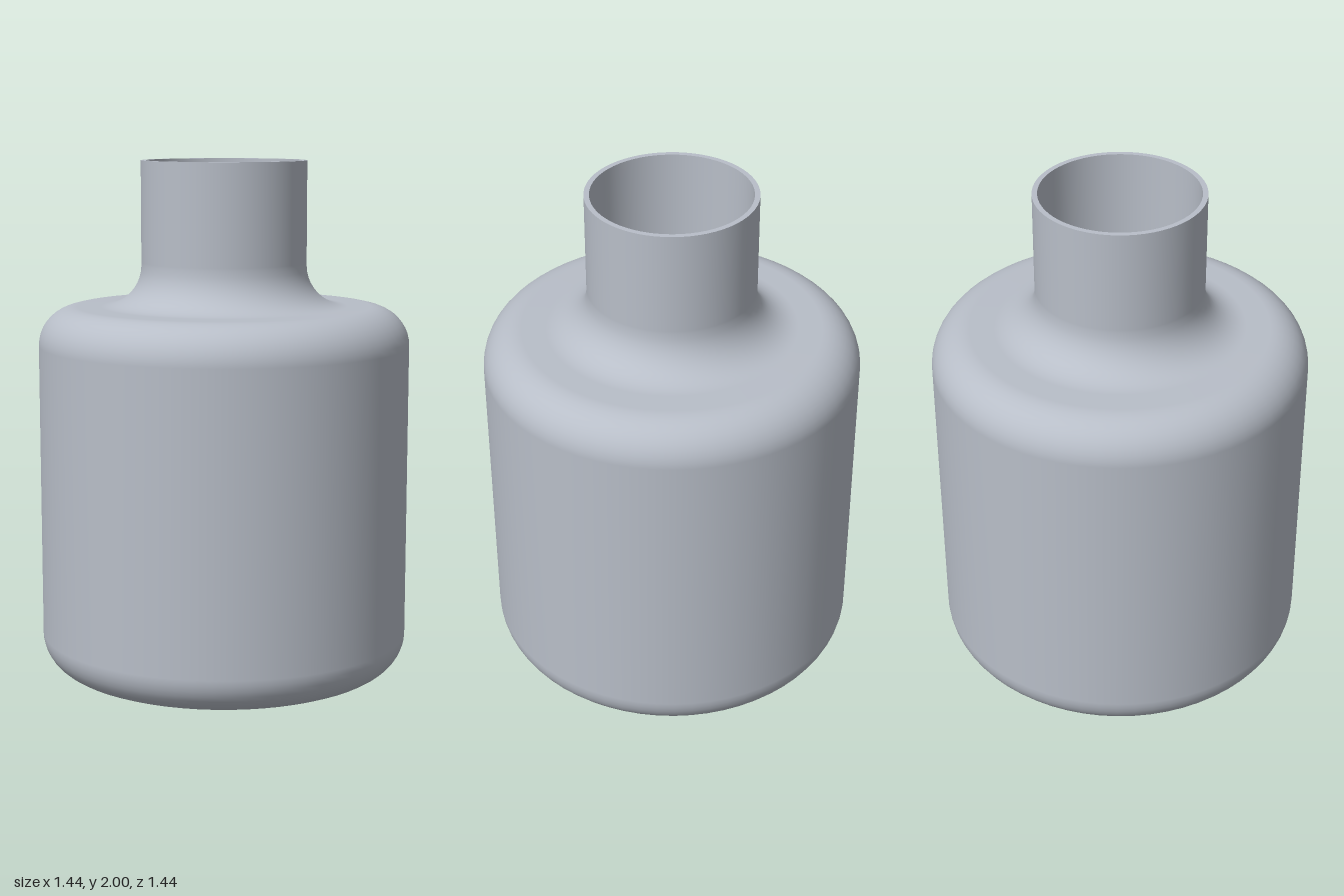
import * as THREE from 'three';

const SEGMENTS = 64;
const WALL = 0.02;
const BODY_R = 0.72, BODY_H = 1.44, EDGE_R = 0.15;
const NECK_R = 0.32, TOP = 2, FILLET_R = 0.16;

// Points along an arc in the profile plane, angles in quarter turns
function arc(cx, cy, r, from, to, steps = 10) {
  return Array.from({ length: steps + 1 }, (_, i) => {
    const a = (from + (to - from) * i / steps) * Math.PI / 2;
    return new THREE.Vector2(cx + r * Math.cos(a), cy + r * Math.sin(a));
  });
}

// Bottle profile from the floor centre up to the mouth, moved inwards by an inset
function profile(inset) {
  const edge = EDGE_R - inset;
  const cx = BODY_R - EDGE_R;
  return [
    new THREE.Vector2(0, inset),
    new THREE.Vector2(cx - 0.01, inset),
    ...arc(cx, EDGE_R, edge, -1, 0),
    ...arc(cx, BODY_H - EDGE_R, edge, 0, 1),
    ...arc(NECK_R + FILLET_R, BODY_H + FILLET_R, FILLET_R + inset, 3, 2),
    new THREE.Vector2(NECK_R - inset, BODY_H + FILLET_R + 0.01),
    new THREE.Vector2(NECK_R - inset, TOP),
  ];
}

export function createModel() {
  const group = new THREE.Group();
  group.name = 'bottle';
  const grey = new THREE.MeshStandardMaterial({ color: 0xb8bec8 });
  grey.name = 'light grey';

  const addLathe = (name, points) => {
    const mesh = new THREE.Mesh(new THREE.LatheGeometry(points, SEGMENTS), grey);
    mesh.name = name;
    group.add(mesh);
  };

  // Outer skin, inner skin facing the cavity, and the flat lip joining them
  addLathe('outerWall', profile(0));
  addLathe('innerWall', profile(WALL).reverse());
  addLathe('mouthRim', [new THREE.Vector2(NECK_R, TOP), new THREE.Vector2(NECK_R - WALL, TOP)]);

  return group;
}
